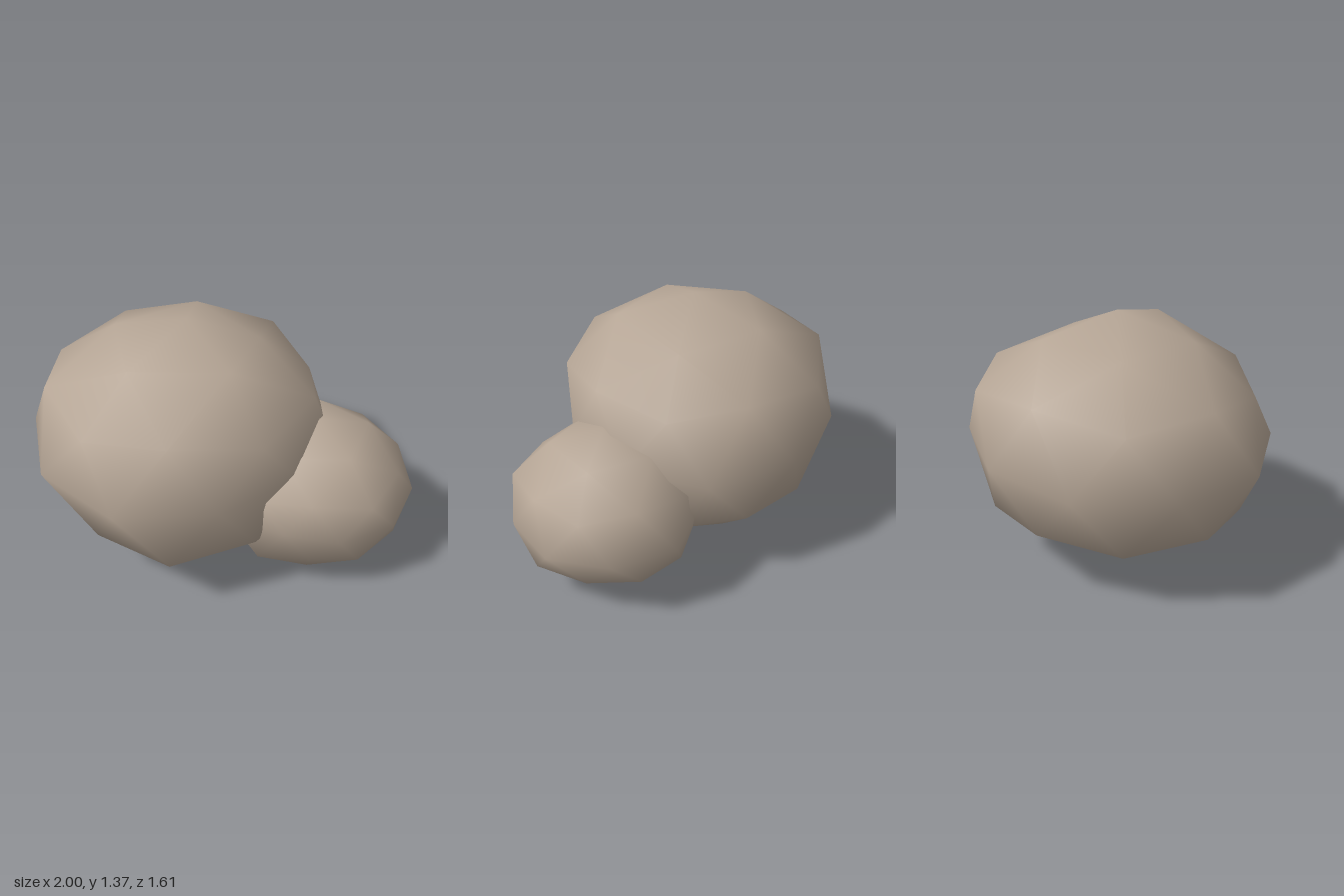
import * as THREE from 'three';
import { mergeVertices } from 'three/addons/utils/BufferGeometryUtils.js';

// Bumps and dents: unit direction x, y, z, then the radius factor there
const LARGE_BUMPS = [
  [-0.95, 0, -0.31, 1.03], [-0.59, 0, -0.81, 1.03], [0, 0, -1, 1.01],
  [0.95, 0, 0.31, 0.92], [0.59, 0, 0.81, 0.91], [0, 0, 1, 0.96],
  [-0.59, 0, 0.81, 1.04], [-0.95, 0, 0.31, 1.03],
  [0.89, 0.45, 0, 0.9], [0.53, 0.85, 0, 0.88], [-0.85, 0.53, 0, 1.04],
  [-0.43, 0.85, 0.31, 0.96], [-0.43, 0.85, -0.31, 0.96], [0.16, 0.85, -0.5, 0.96],
  [-0.26, 0.53, 0.81, 1.02], [-0.26, 0.53, -0.81, 1.06],
  [0.28, 0.45, -0.85, 1.06], [-0.72, 0.45, -0.53, 1.04],
  [-0.53, -0.85, 0, 0.94], [0.26, -0.53, -0.81, 1.02], [-0.16, -0.85, -0.5, 0.93],
  [-0.28, -0.45, 0.85, 1.09], [-0.16, -0.85, 0.5, 1.02],
];
const SMALL_BUMPS = [
  [0, 1, 0, 1.06], [0, -1, 0, 0.965],
  [0.95, 0, -0.31, 1.03], [0.59, 0, -0.81, 1.06], [0.95, 0, 0.31, 1.02],
  [0.59, 0, 0.81, 0.98], [0, 0, 1, 0.91], [0, 0, -1, 0.94], [-0.59, 0, 0.81, 0.83],
  [0.53, 0.85, 0, 1.03], [0.28, 0.45, 0.85, 1.03], [0.28, 0.45, -0.85, 1.04],
  [0.16, 0.85, 0.5, 1.03], [0.16, 0.85, -0.5, 1.03], [-0.26, 0.53, 0.81, 0.94],
  [0.85, -0.53, 0, 0.95], [0.26, -0.53, 0.81, 0.97],
  [-0.53, -0.85, 0, 0.92], [-0.89, -0.45, 0, 0.85], [-0.26, -0.53, 0.81, 0.88],
];

// Coarse, smooth-shaded icosphere with a vertex at each pole, dented and stretched
function boulderGeometry(radii, bumps) {
  let geo = new THREE.IcosahedronGeometry(1, 1);
  geo.rotateZ(-Math.atan(2 / (1 + Math.sqrt(5))));
  geo.deleteAttribute('normal');
  geo.deleteAttribute('uv');
  geo = mergeVertices(geo, 1e-3);
  const pos = geo.attributes.position;
  const v = new THREE.Vector3();
  for (let i = 0; i < pos.count; i++) {
    v.fromBufferAttribute(pos, i);
    const bump = bumps.find(([x, y, z]) => v.x * x + v.y * y + v.z * z > 0.98);
    v.multiplyScalar(bump ? bump[3] : 1).multiply(radii);
    pos.setXYZ(i, v.x, v.y, v.z);
  }
  geo.computeVertexNormals();
  return geo;
}

export function createModel() {
  const group = new THREE.Group();
  group.name = 'boulders';
  const stone = new THREE.MeshStandardMaterial({ color: 0xb5a595 });
  stone.name = 'warm grey stone';

  const addBoulder = (name, radii, center, bumps) => {
    const mesh = new THREE.Mesh(boulderGeometry(new THREE.Vector3(...radii), bumps), stone);
    mesh.name = name;
    mesh.position.set(...center);
    group.add(mesh);
  };

  addBoulder('largeBoulder', [0.85, 0.68, 0.78], [-0.165, 0.69, -0.02], LARGE_BUMPS);
  addBoulder('smallBoulder', [0.55, 0.43, 0.53], [0.46, 0.415, 0.32], SMALL_BUMPS);
  return group;
}
